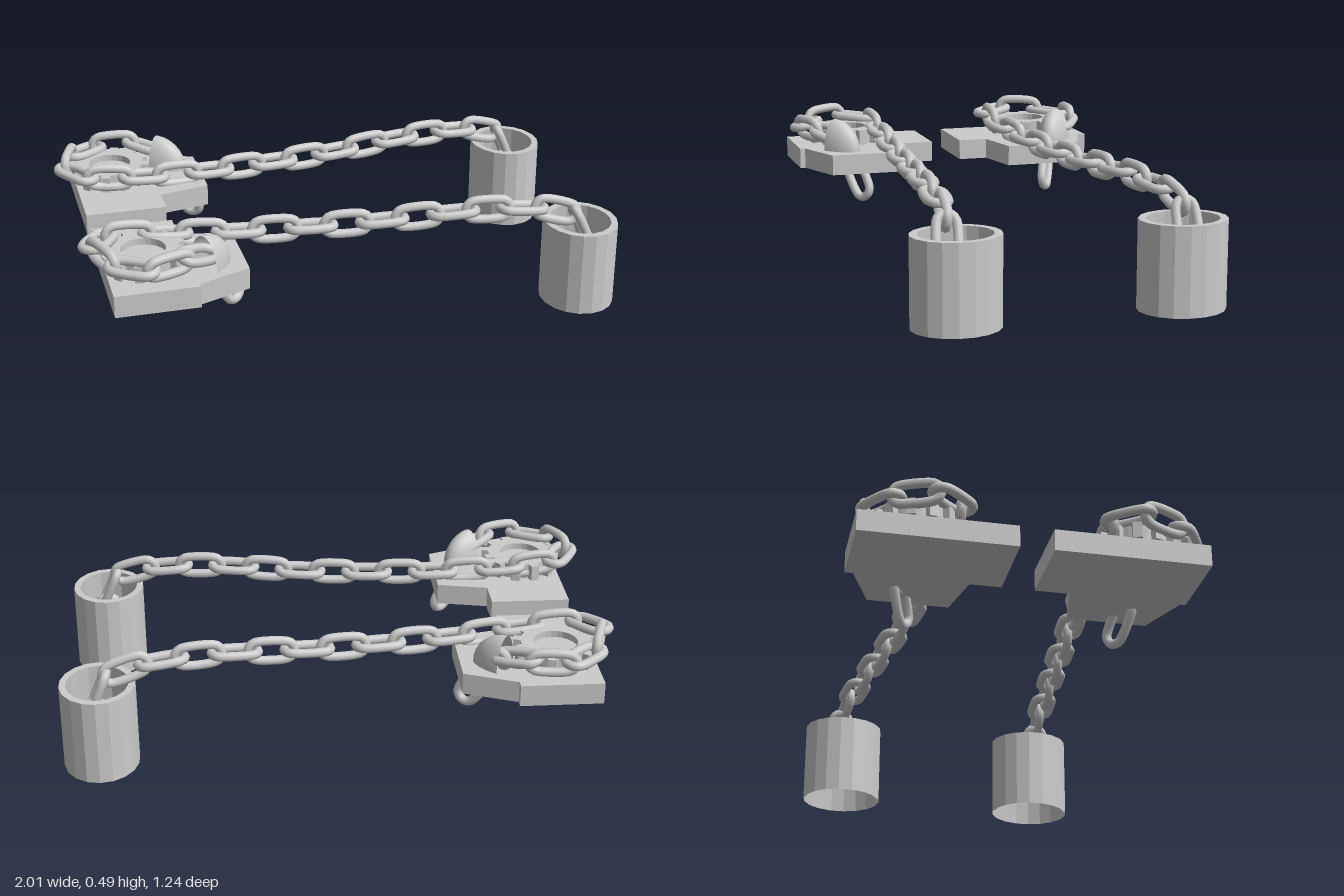
import * as THREE from 'three';

const V = (x, y, z) => new THREE.Vector3(x, y, z);
const smooth = new THREE.MeshStandardMaterial({ color: 0xcccccc });
const flat = new THREE.MeshStandardMaterial({ color: 0xcccccc, flatShading: true });
const thin = new THREE.MeshStandardMaterial({ color: 0xcccccc, side: THREE.DoubleSide });
const PITCH = 0.132;
const PLATE_TOP = 0.355;

function part(parent, name, geometry, material) {
  const mesh = new THREE.Mesh(geometry, material);
  mesh.name = name;
  parent.add(mesh);
  return mesh;
}

// One oval link, long along x, wide along y
function linkGeometry() {
  const pts = [];
  for (const end of [0, 1]) {
    for (let i = 0; i <= 5; i++) {
      const a = -Math.PI / 2 + end * Math.PI + (i / 5) * Math.PI;
      pts.push(V((end ? -0.049 : 0.049) + 0.036 * Math.cos(a), 0.036 * Math.sin(a), 0));
    }
  }
  return new THREE.TubeGeometry(new THREE.CatmullRomCurve3(pts, true), 32, 0.0175, 8, true);
}
const link = linkGeometry();

function addLink(parent, name, centre, along, across) {
  const mesh = part(parent, name, link, smooth);
  mesh.quaternion.setFromRotationMatrix(
    new THREE.Matrix4().makeBasis(along, across, along.clone().cross(across)));
  mesh.position.copy(centre);
}

// Links follow a curve, each turned a quarter from the last
function chain(points) {
  const group = new THREE.Group();
  group.name = 'chain';
  const curve = new THREE.CatmullRomCurve3(points);
  curve.arcLengthDivisions = 600;
  const length = curve.getLength();
  const at = s => curve.getPointAt(THREE.MathUtils.clamp(s / length, 0, 1));

  // Phase the links so an upright one sits just before the cup rim
  let s0 = 0;
  while (at(s0).x > 0.757) s0 += 0.004;
  const before = Math.floor(s0 / PITCH);
  const side = V(0, 0, 1);
  for (let i = -before; s0 + i * PITCH <= length; i++) {
    const s = s0 + i * PITCH;
    const along = at(s + 0.06).sub(at(s - 0.06)).normalize();
    side.addScaledVector(along, -side.dot(along)).normalize();
    const across = i % 2 === 0 ? along.clone().cross(side) : side.clone();
    addLink(group, 'chainLink', at(s), along, across);
  }
  return group;
}

// Toothed wheel outline with a round hole
function wheelGeometry() {
  const shape = new THREE.Shape();
  const teeth = 12;
  for (let i = 0; i < teeth; i++) {
    [[0, 0.128], [0.22, 0.128], [0.3, 0.153], [0.7, 0.153], [0.78, 0.128]].forEach(([f, r], k) => {
      const a = ((i + f) / teeth) * Math.PI * 2;
      const go = i + k === 0 ? 'moveTo' : 'lineTo';
      shape[go](r * Math.cos(a), r * Math.sin(a));
    });
  }
  shape.holes.push(new THREE.Path().absarc(0, 0, 0.08, 0, Math.PI * 2, true));
  return new THREE.ExtrudeGeometry(shape, { depth: 0.06, bevelEnabled: false, curveSegments: 12 })
    .rotateX(-Math.PI / 2);
}

function anchorGear({ side, outer, inner, wheelZ, cupZ, path }) {
  const group = new THREE.Group();
  group.name = side > 0 ? 'frontChainSet' : 'backChainSet';

  // Deck plate with a tapered nose
  const outline = [[-0.93, outer], [-0.63, outer], [-0.63, side * 0.59], [-0.44, side * 0.515],
    [-0.44, side * 0.22], [-0.63, side * 0.18], [-0.63, inner], [-0.93, inner]];
  const plate = new THREE.Shape(outline.map(p => new THREE.Vector2(...p)));
  part(group, 'deckPlate',
    new THREE.ExtrudeGeometry(plate, { depth: 0.08, bevelEnabled: false }).rotateX(Math.PI / 2),
    flat).position.y = PLATE_TOP;

  // Chain wheel and its sunken hub
  part(group, 'chainWheel', wheelGeometry(), flat).position.set(-0.79, PLATE_TOP, wheelZ);
  part(group, 'wheelHub', new THREE.CylinderGeometry(0.082, 0.082, 0.035, 24), flat)
    .position.set(-0.79, PLATE_TOP + 0.0175, wheelZ);

  // Hood over the chain pipe, open toward the incoming chain
  const hood = part(group, 'pipeHood',
    new THREE.SphereGeometry(1, 16, 8, Math.PI / 2, Math.PI, 0, Math.PI / 2), thin);
  hood.scale.set(0.125, 0.122, 0.062);
  hood.rotation.y = side * 0.65;
  hood.position.set(-0.595, PLATE_TOP, side * 0.475);

  // Open cup, slightly oval
  const profile = [[0.158, 0], [0.158, 0.32], [0.13, 0.32], [0.153, 0]];
  const cup = part(group, 'cup',
    new THREE.LatheGeometry(profile.map(p => new THREE.Vector2(...p)), 18),
    new THREE.MeshStandardMaterial({ color: 0xcccccc, flatShading: true, side: THREE.DoubleSide }));
  cup.scale.x = 0.137 / 0.158;
  cup.position.set(0.86, 0, cupZ);

  // Chain from the cup, round the wheel and under the hood
  group.add(chain(path.map(p => V(...p))));

  // Link hanging below the plate
  const along = V(0.08, -0.13, -0.04 * side).normalize();
  const across = V(0.8, 0, -0.6 * side);
  across.addScaledVector(along, -across.dot(along)).normalize();
  addLink(group, 'hangingLink', V(-0.5, 0.25, side * 0.4), along, across);
  return group;
}

export function createModel() {
  const model = new THREE.Group();
  model.name = 'anchorChains';
  model.add(anchorGear({
    side: 1, outer: 0.61, inner: 0.055, wheelZ: 0.385, cupZ: 0.375,
    path: [[0.865, 0.1, 0.405], [0.865, 0.25, 0.405], [0.84, 0.33, 0.4], [0.76, 0.375, 0.39],
      [0.5, 0.402, 0.37], [0.03, 0.385, 0.32], [-0.45, 0.39, 0.28], [-0.75, 0.41, 0.265],
      [-0.91, 0.425, 0.285], [-0.95, 0.43, 0.36], [-0.94, 0.43, 0.44], [-0.87, 0.42, 0.53],
      [-0.77, 0.42, 0.565], [-0.67, 0.42, 0.525], [-0.58, 0.4, 0.46], [-0.54, 0.34, 0.43]],
  }));
  model.add(anchorGear({
    side: -1, outer: -0.62, inner: -0.065, wheelZ: -0.4, cupZ: -0.433,
    path: [[0.865, 0.1, -0.45], [0.865, 0.25, -0.45], [0.84, 0.33, -0.45], [0.76, 0.375, -0.44],
      [0.5, 0.402, -0.4], [0.03, 0.385, -0.34], [-0.45, 0.39, -0.285], [-0.75, 0.41, -0.255],
      [-0.91, 0.425, -0.275], [-0.95, 0.43, -0.35], [-0.94, 0.43, -0.43], [-0.87, 0.42, -0.53],
      [-0.76, 0.42, -0.575], [-0.66, 0.42, -0.54], [-0.58, 0.4, -0.48], [-0.54, 0.34, -0.44]],
  }));
  return model;
}
